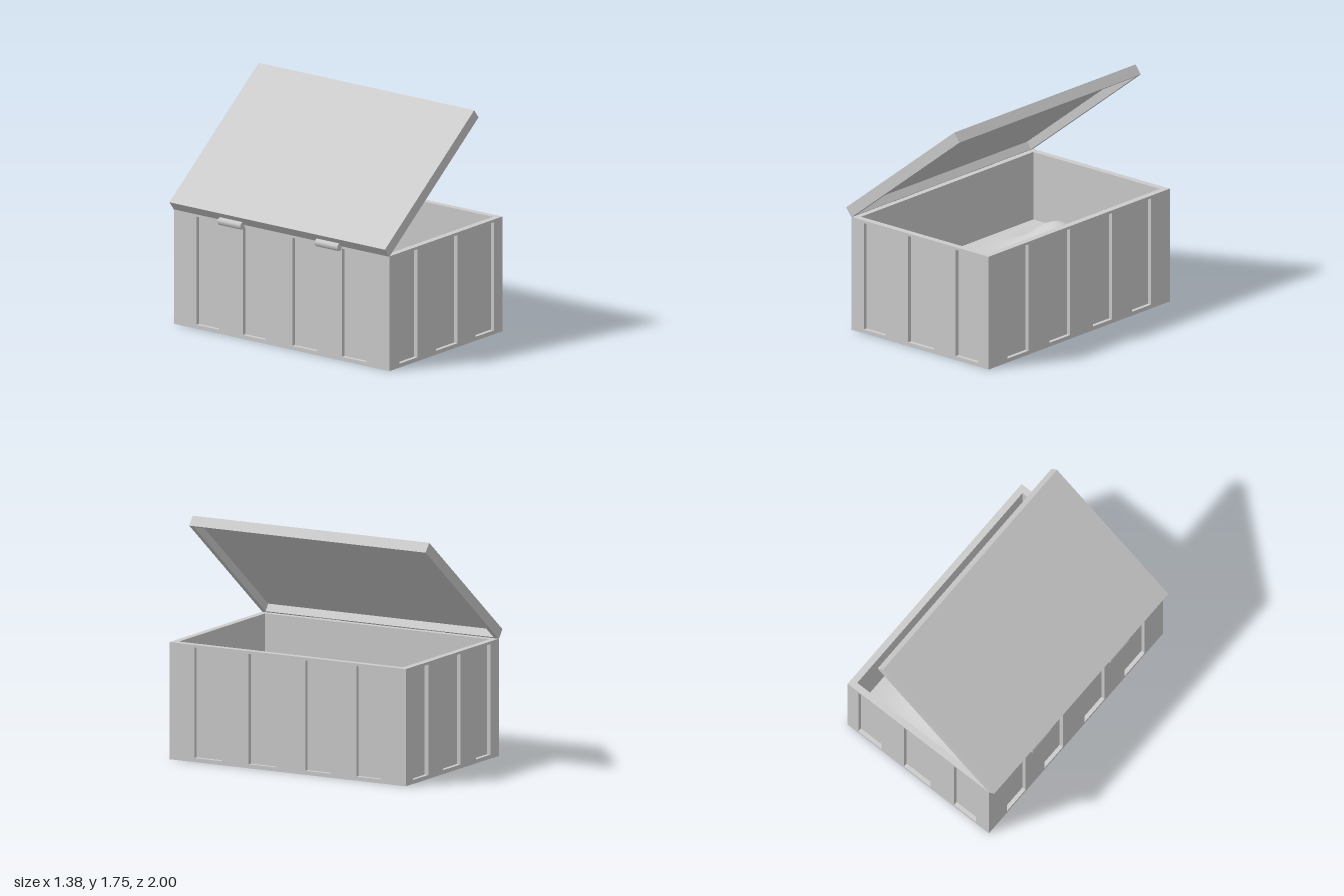
import * as THREE from 'three';

const H = 0.87, HX = 0.665, HZ = 1;   // box height and half sizes
const WALL = 0.05, RECESS = 0.03;

const mat = new THREE.MeshStandardMaterial({ color: 0xcccccc });

function addMesh(parent, name, geometry, x = 0, y = 0, z = 0) {
  const mesh = new THREE.Mesh(geometry, mat);
  mesh.name = name;
  mesh.position.set(x, y, z);
  parent.add(mesh);
  return mesh;
}

// Adds a rectangle to a shape or path
function rect(path, x0, y0, x1, y1) {
  path.moveTo(x0, y0).lineTo(x1, y0).lineTo(x1, y1).lineTo(x0, y1).closePath();
  return path;
}

// Flat plate with rectangular openings, extruded along +z
function plate(outer, holes, depth) {
  const shape = rect(new THREE.Shape(), ...outer);
  for (const h of holes) shape.holes.push(rect(new THREE.Path(), ...h));
  return new THREE.ExtrudeGeometry(shape, { depth, bevelEnabled: false });
}

// Outer cladding of one side, its openings forming the recessed panels
function cladding(parent, name, half, distance, ranges, flip, turn) {
  const holes = ranges.map(([a, b]) => (flip ? [-b, 0.03, -a, 0.85] : [a, 0.03, b, 0.85]));
  const geometry = plate([-half, 0, half, H], holes, RECESS);
  geometry.translate(0, 0, distance - RECESS).rotateY(turn);
  addMesh(parent, name, geometry);
}

function createBody() {
  const body = new THREE.Group();
  body.name = 'body';
  body.position.x = 0.025;
  const ix = HX - WALL, iz = HZ - WALL, cx = HX - RECESS, cz = HZ - RECESS;

  // Inner walls and floor
  const walls = plate([-cx, -cz, cx, cz], [[-ix, -iz, ix, iz]], H).rotateX(-Math.PI / 2);
  addMesh(body, 'innerWalls', walls);
  addMesh(body, 'floor', new THREE.BoxGeometry(2 * ix, WALL, 2 * iz), 0, WALL / 2, 0);

  // Recessed panels: three on each end, four on each long side
  const ends = [[-0.545, -0.335], [-0.115, 0.135], [0.345, 0.565]];
  const sides = [[-0.79, -0.58], [-0.36, -0.15], [0.10, 0.33], [0.56, 0.79]];
  cladding(body, 'frontPanels', HX, HZ, ends, false, 0);
  cladding(body, 'backPanels', HX, HZ, ends, true, Math.PI);
  cladding(body, 'leftPanels', cz, HX, sides, true, Math.PI / 2);
  cladding(body, 'rightPanels', cz, HX, sides, false, -Math.PI / 2);
  return body;
}

// Heaped filling: a level bed with a few soft mounds
function createFilling(parent) {
  const w = 2 * (HX - WALL), d = 2 * (HZ - WALL);
  const geometry = new THREE.PlaneGeometry(w, d, 20, 32).rotateX(-Math.PI / 2);
  const mounds = [ // x, z, height, x radius, z radius
    [0.03, -0.5, 0.25, 0.3, 0.2],
    [0.0, 0.2, 0.09, 0.35, 0.4],
    [0.3, 0.05, 0.06, 0.25, 0.25],
    [-0.25, 0.6, 0.05, 0.25, 0.2],
  ];
  const p = geometry.attributes.position;
  for (let i = 0; i < p.count; i++) {
    const x = p.getX(i), z = p.getZ(i);
    const edge = Math.min(1, (w / 2 - Math.abs(x)) / 0.2) * Math.min(1, (d / 2 - Math.abs(z)) / 0.2);
    let y = 0;
    for (const [mx, mz, h, rx, rz] of mounds) {
      y += h * Math.exp(-(((x - mx) / rx) ** 2) - ((z - mz) / rz) ** 2);
    }
    p.setY(i, 0.35 + y * edge);
  }
  geometry.computeVertexNormals();
  addMesh(parent, 'filling', geometry, 0.025, 0, 0);
}

// Open lid: a shallow tray, rim downwards, tilted about its hinge edge
function createLid() {
  const lid = new THREE.Group();
  lid.name = 'lid';
  lid.position.set(-0.64, 0.867, 0);
  lid.rotation.z = THREE.MathUtils.degToRad(38);
  const L = 1.33, T = 0.083, rim = 0.063;
  const frame = plate([0, -HZ, L, HZ], [[0.02, -0.965, L - 0.02, 0.965]], rim).rotateX(-Math.PI / 2);
  addMesh(lid, 'lidRim', frame);
  addMesh(lid, 'lidTop', new THREE.BoxGeometry(L, T - rim, 2 * HZ), L / 2, (T + rim) / 2, 0);
  return lid;
}

export function createModel() {
  const model = new THREE.Group();
  model.name = 'storageChest';
  model.add(createBody(), createLid());
  createFilling(model);

  // Hinge barrels
  for (const side of [-1, 1]) {
    const barrel = new THREE.CylinderGeometry(0.03, 0.03, 0.21, 8).rotateY(Math.PI / 8).rotateX(Math.PI / 2);
    addMesh(model, side < 0 ? 'backHinge' : 'frontHinge', barrel, -0.66, 0.865, side * 0.45);
  }
  return model;
}
